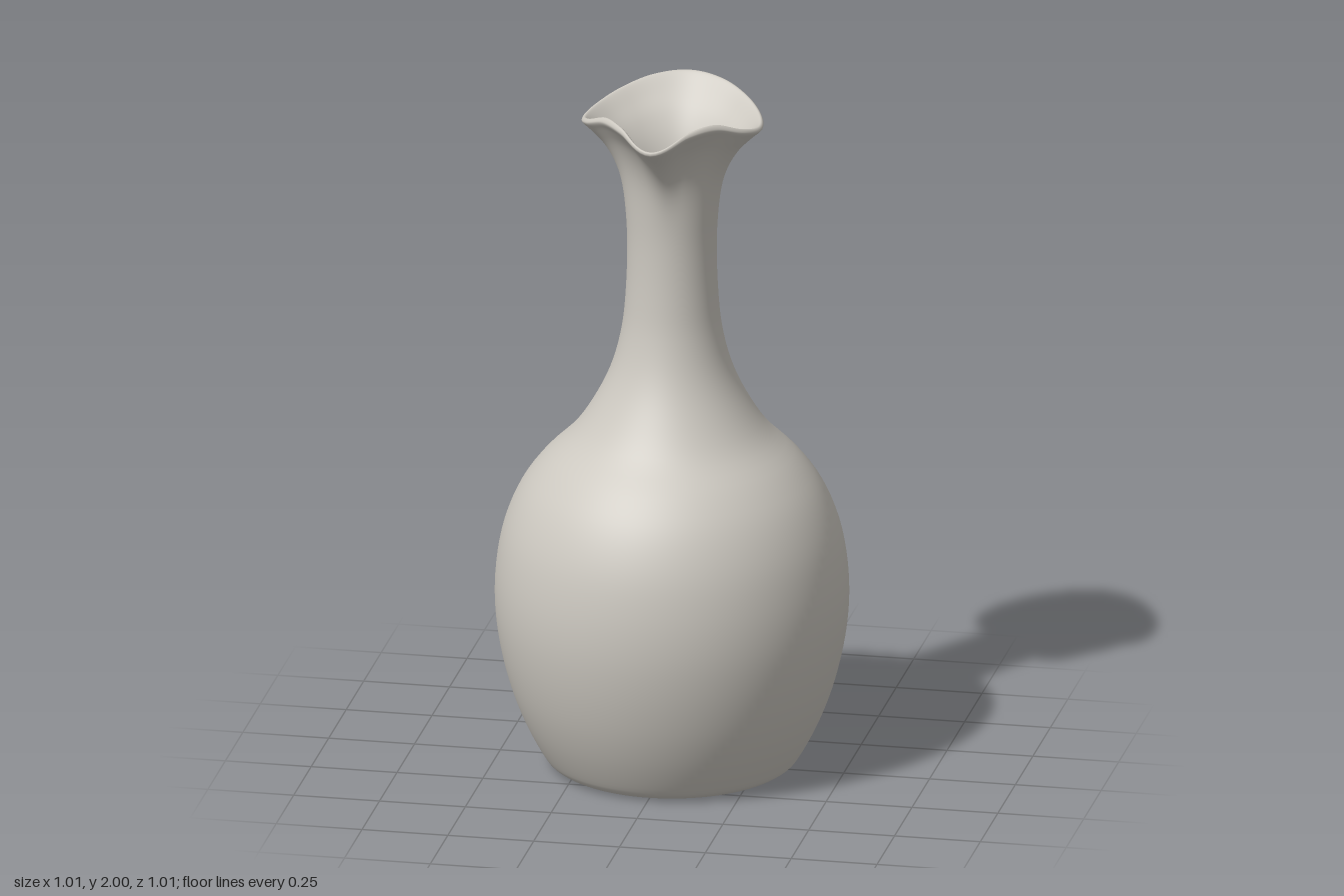
import * as THREE from 'three';
import { mergeVertices } from 'three/addons/utils/BufferGeometryUtils.js';

// Rim radius and height every 22.5 degrees, from the front spout round to the back
const RIM_R = [0.315, 0.264, 0.236, 0.25, 0.26, 0.26, 0.259, 0.264, 0.272];
const RIM_Y = [1.945, 1.986, 1.988, 1.957, 1.936, 1.942, 1.965, 1.988, 1.997];
const LIP_START = 1.6, LIP_R = 0.26, LIP_Y = 1.96;

// Smooth mirrored interpolation of a rim table by angle
function sample(table, angle) {
  const u = Math.abs(angle) / (Math.PI / 8);
  const i = Math.min(7, Math.floor(u)), t = u - i;
  const at = (k) => table[k < 0 ? -k : k > 8 ? 16 - k : k];
  const a = at(i - 1), b = at(i), c = at(i + 1), d = at(i + 2);
  return b + 0.5 * t * (c - a + t * (2 * a - 5 * b + 4 * c - d + t * (3 * (b - c) + d - a)));
}

export function createModel() {
  const glaze = new THREE.MeshStandardMaterial({ color: 0xccc8c0 });
  glaze.name = 'warm grey ceramic';

  // Outside wall, from the middle of the base up to the rim
  const outer = [
    [0, 0], [0.15, 0], [0.3, 0], [0.345, 0.012], [0.373, 0.045], [0.42, 0.135],
    [0.46, 0.24], [0.49, 0.36], [0.505, 0.48], [0.502, 0.6], [0.48, 0.72],
    [0.435, 0.83], [0.37, 0.92], [0.28, 1.01], [0.215, 1.11], [0.17, 1.21],
    [0.143, 1.32], [0.132, 1.43], [0.128, 1.55], [0.131, 1.65], [0.142, 1.75],
    [0.162, 1.82], [0.195, 1.88], [0.235, 1.925],
  ];
  // Rounded lip, then the inside wall down to the floor
  const lip = [[0.258, 1.947], [0.26, 1.957], [0.253, 1.964], [0.242, 1.957]];
  const inner = [
    [0.215, 1.927], [0.175, 1.88], [0.142, 1.82], [0.122, 1.75], [0.109, 1.65],
    [0.104, 1.55], [0.108, 1.43], [0.12, 1.32], [0.146, 1.21], [0.19, 1.11],
    [0.255, 1.01], [0.34, 0.92], [0.41, 0.82], [0.455, 0.72], [0.475, 0.6],
    [0.478, 0.48], [0.463, 0.36], [0.433, 0.24], [0.395, 0.14], [0.34, 0.06],
    [0.28, 0.035], [0.15, 0.03], [0, 0.03],
  ];
  const control = [...outer, ...lip, ...inner].map(([r, y]) => new THREE.Vector2(r, y));
  const profile = new THREE.SplineCurve(control).getPoints((control.length - 1) * 4);
  profile.forEach((p) => p.set(Math.max(0, p.x), Math.max(0, p.y)));

  // Pull the round flare into the wavy lip with its pinched spout
  let geometry = new THREE.LatheGeometry(profile, 128);
  const pos = geometry.attributes.position;
  for (let i = 0; i < pos.count; i++) {
    const x = pos.getX(i), y = pos.getY(i), z = pos.getZ(i);
    if (y <= LIP_START) continue;
    const t = (y - LIP_START) / (LIP_Y - LIP_START);
    const angle = Math.atan2(x, z), r = Math.hypot(x, z);
    const newR = r + (sample(RIM_R, angle) - LIP_R) * t ** 3;
    const newY = y + (sample(RIM_Y, angle) - LIP_Y) * t ** 1.5;
    pos.setXYZ(i, newR * Math.sin(angle), newY, newR * Math.cos(angle));
  }
  // Weld the seam so the shading is smooth all round
  geometry.deleteAttribute('uv');
  geometry.deleteAttribute('normal');
  geometry = mergeVertices(geometry, 1e-5);
  geometry.computeVertexNormals();

  const vase = new THREE.Mesh(geometry, glaze);
  vase.name = 'vaseBody';
  const group = new THREE.Group();
  group.name = 'vase';
  group.add(vase);
  return group;
}
